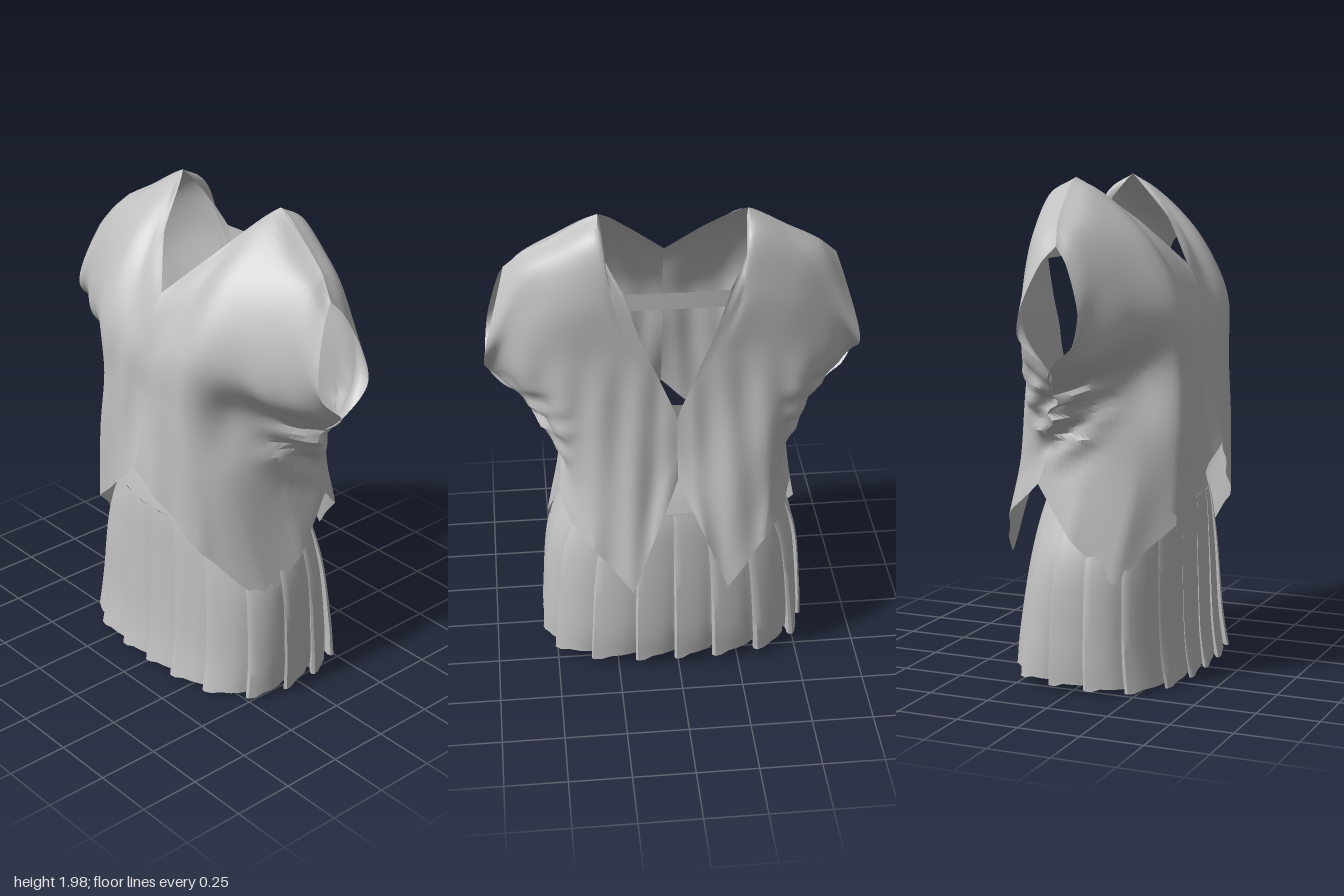
import * as THREE from 'three';
import { toCreasedNormals } from 'three/addons/utils/BufferGeometryUtils.js';

const cloth = new THREE.MeshStandardMaterial({ color: 0xc0c0c0, side: THREE.DoubleSide });
cloth.name = 'grey cloth';
const { smoothstep } = THREE.MathUtils;

// Surface from a grid of points (rows of equal length)
function gridGeometry(rows, crease) {
  const n = rows[0].length, index = [];
  for (let j = 0; j < rows.length - 1; j++) {
    for (let i = 0; i < n - 1; i++) {
      const a = j * n + i, b = a + 1, c = a + n, d = c + 1;
      index.push(a, c, b, b, c, d);
    }
  }
  const geo = new THREE.BufferGeometry().setFromPoints(rows.flat());
  geo.setIndex(index);
  geo.computeVertexNormals();
  return toCreasedNormals(geo, crease);
}

function mesh(name, geo) {
  const m = new THREE.Mesh(geo, cloth);
  m.name = name;
  return m;
}

const curve = (pts) => new THREE.CatmullRomCurve3(pts, false, 'centripetal');

// Straight-line interpolation between neighbouring points
function polyline(pts, t) {
  const f = t * (pts.length - 1), i = Math.min(pts.length - 2, Math.floor(f));
  return pts[i].clone().lerp(pts[i + 1], f - i);
}

// Seam lines of one half of the blouse, each from the top edge down to the hem
const frontSeams = [
  [[0, 1.66, .27], [0, 1.61, .3], [0, 1.53, .33], [0, 1.4, .355], [0, 1.25, .36], [0, 1.1, .385], [0, .95, .425]],
  [[.15, 1.83, .13], [.15, 1.75, .2], [.14, 1.62, .28], [.14, 1.45, .355], [.14, 1.25, .37], [.15, 1.05, .375], [.17, .8, .385]],
  [[.285, 2, -.08], [.285, 1.94, .02], [.28, 1.75, .22], [.28, 1.5, .345], [.27, 1.25, .345], [.3, 1, .35], [.32, .67, .35]],
  [[.46, 1.895, -.06], [.46, 1.85, .05], [.45, 1.69, .18], [.43, 1.45, .26], [.35, 1.26, .21], [.39, .98, .24], [.49, .45, .155]],
  [[.57, 1.83, -.03], [.58, 1.78, .05], [.61, 1.58, .14], [.61, 1.36, .15], [.5, 1.2, .05], [.45, .98, .05], [.515, .62, -.01]],
  [[.645, 1.755, 0], [.67, 1.68, .055], [.725, 1.43, .12], [.72, 1.3, 0], [.58, 1.17, -.05], [.46, .97, -.12], [.47, .82, -.17]],
];
const backSeams = [
  [[.645, 1.755, 0], [.67, 1.68, -.06], [.735, 1.43, -.12], [.72, 1.3, 0], [.58, 1.17, -.05], [.46, .97, -.12], [.47, .82, -.17]],
  [[.57, 1.83, -.03], [.58, 1.78, -.11], [.61, 1.6, -.15], [.61, 1.4, -.165], [.51, 1.18, -.17], [.43, .95, -.2], [.43, .73, -.27]],
  [[.46, 1.895, -.06], [.46, 1.85, -.15], [.46, 1.68, -.21], [.45, 1.42, -.22], [.4, 1.18, -.25], [.37, .9, -.28], [.34, .65, -.36]],
  [[.285, 2, -.08], [.29, 1.93, -.19], [.29, 1.73, -.24], [.26, 1.45, -.24], [.23, 1.18, -.265], [.2, .84, -.34], [.19, .47, -.42]],
  [[.265, 1.86, -.2], [.25, 1.77, -.235], [.21, 1.6, -.245], [.15, 1.4, -.25], [.1, 1.17, -.265], [.09, .93, -.3], [.1, .7, -.38]],
  [[.2, 1.74, -.25], [.17, 1.63, -.25], [.125, 1.5, -.25], [.06, 1.34, -.25], [0, 1.18, -.26], [0, 1.05, -.27], [0, .92, -.29]],
];

// Soft vertical folds on the body and crumpled cloth under the arm
function wrinkle(p, side) {
  const body = smoothstep(1.55 - p.y, 0, .3) * smoothstep(p.x, 0, .08);
  p.z += .006 * body * Math.sin(p.x * 42 + p.y * 3 + side);
  const d = Math.hypot(p.x - .5, (p.y - 1.12) * .8, p.z + .05);
  const arm = Math.max(0, 1 - d / .24);
  p.z += .03 * arm * Math.sin(p.y * 55 + p.x * 25 + side);
  p.x += .025 * arm * Math.sin(p.y * 40 - p.z * 30);
}

function panel(name, seams, side) {
  const lines = seams.map((s) => curve(s.map((p) => new THREE.Vector3(...p))));
  const rows = [], nv = 54, nu = 40;
  for (let j = 0; j <= nv; j++) {
    const v = j / nv, knots = lines.map((l) => l.getPoint(v));
    const across = curve(knots), row = [];
    // pointed hem corners and a straight neckline
    const straight = smoothstep(v, .82, 1) + .6 * (1 - smoothstep(v, 0, .12));
    for (let i = 0; i <= nu; i++) {
      const p = across.getPoint(i / nu).lerp(polyline(knots, i / nu), straight);
      wrinkle(p, side);
      p.x = Math.max(0, p.x) * side;
      row.push(p);
    }
    rows.push(row);
  }
  return mesh(name, gridGeometry(rows, .7));
}

// Skirt levels: height, half width, front depth, back depth, squareness of the oval
const levels = [
  [.91, .36, .28, .18, 2.1], [.73, .435, .32, .26, 2.2], [.5, .51, .325, .295, 2.5],
  [.2, .53, .335, .325, 2.8], [.05, .53, .355, .325, 3],
];

function skirtLevel(t) {
  const f = t * (levels.length - 1), i = Math.min(levels.length - 2, Math.floor(f));
  const at = (k) => levels[Math.max(0, Math.min(levels.length - 1, k))];
  const u = f - i;
  return levels[0].map((_, k) => {
    const [p, a, b, c] = [at(i - 1)[k], at(i)[k], at(i + 1)[k], at(i + 2)[k]];
    return a + .5 * u * (b - p + u * (2 * p - 5 * a + 4 * b - c + u * (3 * (a - b) + c - p)));
  });
}

function skirtPoint(level, turn, out, drop = 0) {
  const [y, a, front, back, n] = level;
  // even spacing along the flattened oval
  const angle = turn + .1 * Math.sin(2 * turn);
  const s = Math.sin(angle), c = Math.cos(angle);
  const k = (Math.abs(c) ** n + Math.abs(s) ** n) ** (-1 / n);
  return new THREE.Vector3(c * (a * k + out), y + drop, s * ((s > 0 ? front : back) * k + out));
}

// Smooth yoke above the pleats
function yoke() {
  const rows = [];
  for (let j = 0; j <= 6; j++) {
    const level = skirtLevel(j / 6 * .25), row = [];
    for (let i = 0; i <= 72; i++) row.push(skirtPoint(level, i / 72 * Math.PI * 2, 0));
    rows.push(row);
  }
  return mesh('skirtYoke', gridGeometry(rows, .8));
}

// Overlapping knife pleats; each edge rolls back under itself, more so at the hem
function pleats() {
  const count = 18, rows = [];
  const fold = [[0, -.8], [.2, -.2], [.45, .25], [.7, .55], [.9, .8], [1.06, .95], [1.12, .6], [1.08, .1], [.98, -.3], [.9, -.7]];
  for (let j = 0; j <= 24; j++) {
    const t = j / 24, level = skirtLevel(.25 + .75 * t), row = [];
    for (let k = 0; k < count; k++) {
      for (const [p, r] of fold) {
        const turn = (k + p + .5) / count * Math.PI * 2;
        const amp = .005 + t * (.022 - .008 * Math.sin(turn));
        const drop = t * t * (-.02 * Math.sin(turn) - (p > .8 ? .012 : 0));
        row.push(skirtPoint(level, turn, amp * r, drop));
      }
    }
    row.push(row[0].clone());
    rows.push(row);
  }
  return mesh('skirtPleats', gridGeometry(rows, .7));
}

// Narrow strap closing the back of the neck
function backStrap() {
  const rows = [1.745, 1.675].map((y, j) => {
    const w = j ? .185 : .205, row = [];
    for (let i = 0; i <= 12; i++) {
      const x = -1 + i / 6;
      row.push(new THREE.Vector3(x * w, y, -.25 - .004 * (1 - x * x)));
    }
    return row;
  });
  return mesh('backNeckStrap', gridGeometry(rows, .7));
}

export function createModel() {
  const model = new THREE.Group();
  model.name = 'blouseAndSkirt';

  const blouse = new THREE.Group();
  blouse.name = 'blouse';
  for (const side of [1, -1]) {
    const label = side > 0 ? 'left' : 'right';
    blouse.add(panel(label + 'FrontPanel', frontSeams, side));
    blouse.add(panel(label + 'BackPanel', backSeams, side));
  }
  blouse.add(backStrap());

  const skirt = new THREE.Group();
  skirt.name = 'skirt';
  skirt.add(yoke(), pleats());

  model.add(blouse, skirt);
  return model;
}
